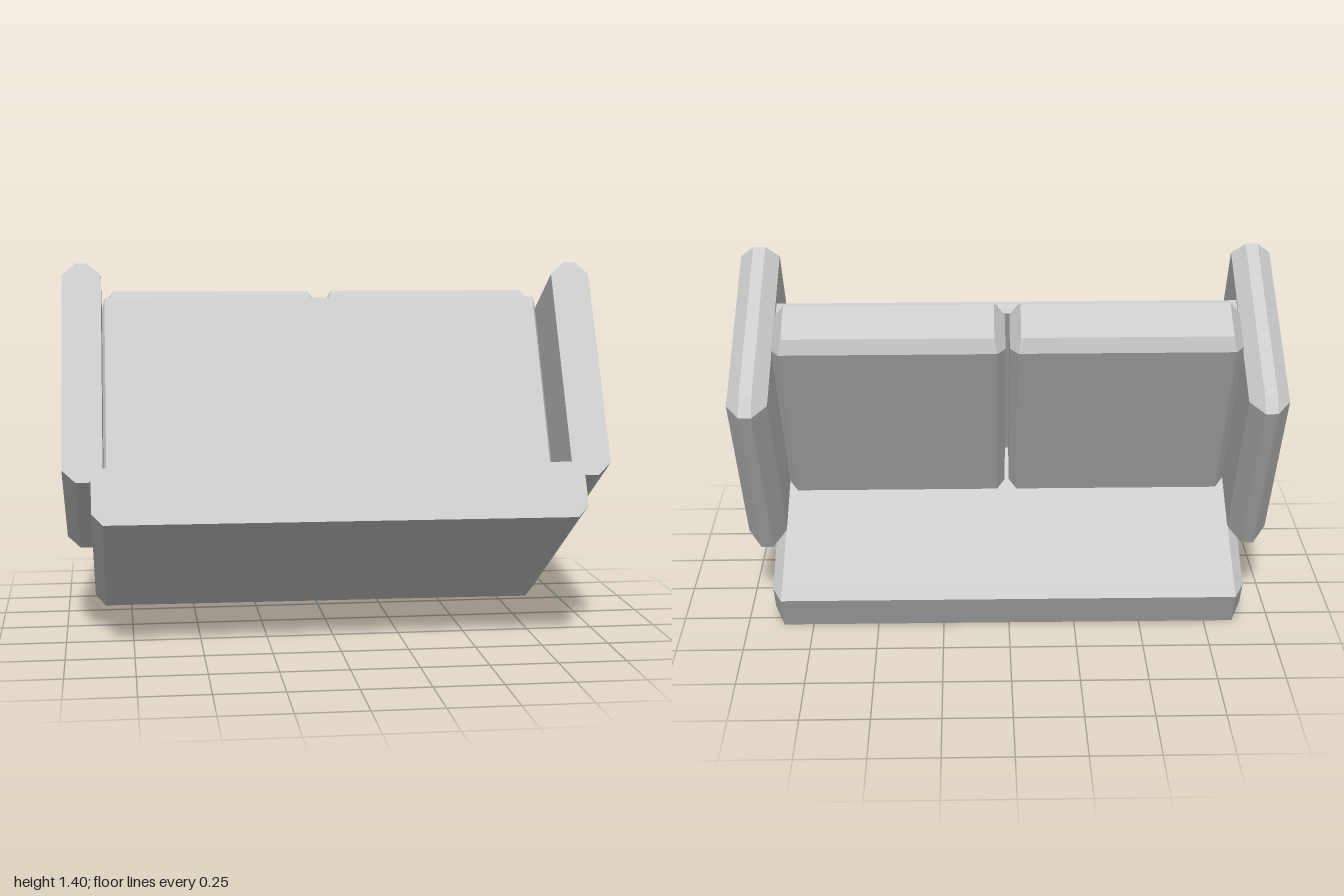
import * as THREE from 'three';
import { ConvexGeometry } from 'three/addons/geometries/ConvexGeometry.js';

const fabric = new THREE.MeshStandardMaterial({ color: 0xcccccc });
fabric.name = 'greyFabric';

// Bevelled block. Ranges are [min, max]; bevel sizes per edge direction.
// flatEnd leaves the +z end cut off square.
function bevelledBlock(name, xr, yr, zr, { bx, by, bz, endY = by, endX = bx, flatEnd = false }) {
  const points = [];
  for (const i of [0, 1]) for (const j of [0, 1]) for (const k of [0, 1]) {
    const sx = i ? -1 : 1, sy = j ? -1 : 1, sz = k ? -1 : 1;
    const x = xr[i], y = yr[j], z = zr[k];
    const square = flatEnd && k === 1;
    const zi = square ? z : z + sz * bz;
    points.push(new THREE.Vector3(x, y + sy * by, zi));
    points.push(new THREE.Vector3(x + sx * bx, y, zi));
    if (!square) points.push(new THREE.Vector3(x + sx * endX, y + sy * endY, z));
  }
  const mesh = new THREE.Mesh(new ConvexGeometry(points), fabric);
  mesh.name = name;
  return mesh;
}

export function createModel() {
  // Sofa laid on its back: local y points out of the backrest, local -z is the sofa's up
  const sofa = new THREE.Group();
  sofa.name = 'sofa';

  // Backrest
  sofa.add(bevelledBlock('backrest', [-0.895, 0.895], [0.135, 0.35], [-0.268, 0.775],
    { bx: 0.04, by: 0.045, bz: 0.07, endY: 0.024, endX: 0.035, flatEnd: true }));

  // Armrests, square at the floor end
  for (const s of [-1, 1]) {
    const xr = s < 0 ? [-0.998, -0.853] : [0.853, 0.998];
    sofa.add(bevelledBlock(s < 0 ? 'rightArmrest' : 'leftArmrest', xr, [0.3, 1.17], [-0.025, 0.765],
      { bx: 0.05, by: 0.048, bz: 0.068, endY: 0.032, endX: 0.05, flatEnd: true }));
  }

  // Seat frame
  sofa.add(bevelledBlock('seatFrame', [-0.853, 0.853], [0.31, 1.172], [0.43, 0.487],
    { bx: 0.03, by: 0.05, bz: 0.02, endY: 0.008, endX: 0.01 }));

  // Two seat cushions
  for (const s of [-1, 1]) {
    const xr = s < 0 ? [-0.85, -0.008] : [0.008, 0.85];
    sofa.add(bevelledBlock(s < 0 ? 'rightCushion' : 'leftCushion', xr, [0.31, 1.225], [0.225, 0.457],
      { bx: 0.04, by: 0.06, bz: 0.036, endY: 0.045, endX: 0.03 }));
  }

  // Tipped posture
  sofa.rotation.x = -Math.PI / 6;
  const model = new THREE.Group();
  model.name = 'tippedSofa';
  model.add(sofa);
  model.rotation.set(0, -0.007, -0.003);
  model.position.y = 0.003;
  return model;
}
